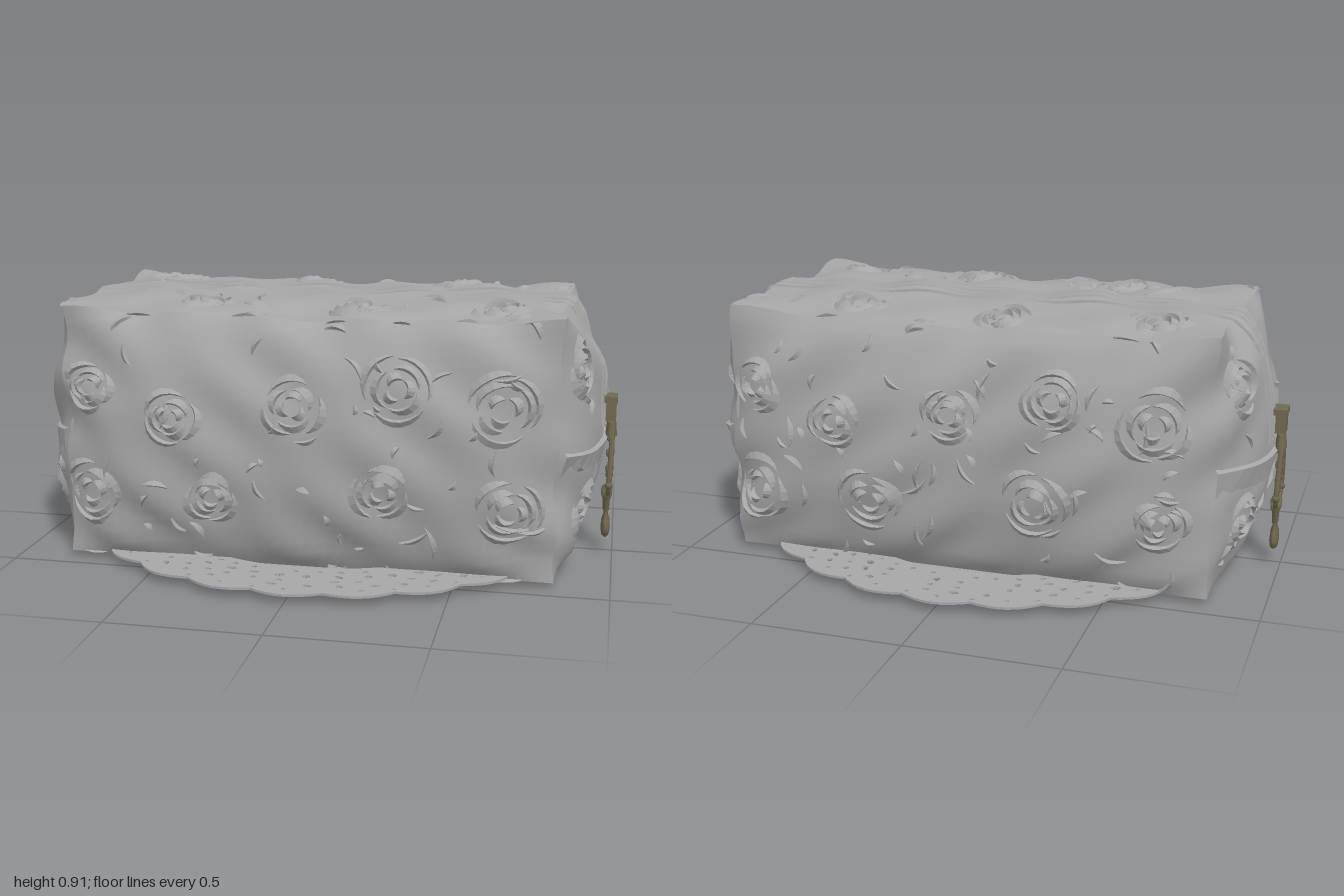
import * as THREE from 'three';
import { mergeGeometries } from 'three/addons/utils/BufferGeometryUtils.js';

const V = (x, y, z) => new THREE.Vector3(x, y, z);
const HX = 0.82, HY = 0.425, HZ = 0.43;

// Seeded random numbers
let seed = 7;
const rnd = () => ((seed = (seed * 16807) % 2147483647) / 2147483647);
const range = (a, b) => a + (b - a) * rnd();

// Stuffed-box rule: a unit cube point becomes a point on the soft bag
function warp(a, b, c) {
  const q = (n) => Math.max(0, 1 - n * n);
  const fade = b < -0.8 ? Math.max(0, (b + 1) / 0.2) : 1;
  const n = fade * 0.009 * (Math.sin(9 * a + 5 * b) * Math.cos(7 * c - 6 * b) + Math.sin(17 * a - 4 * c + 8 * b) * 0.7);
  const x = a * (HX + 0.135 * Math.pow(q(b), 0.75) * Math.pow(q(c), 0.7) + n);
  const z = c * (HZ + 0.1 * Math.pow(q(b), 0.7) * (1 - Math.pow(a, 6)) + n);
  let y = 0.445 + b * (HY + n);
  if (b > 0) y += b * (0.035 * q(c) * q(a * a) - 0.018 * q(a));
  return V(x, y, z);
}

const FACES = {
  front: { at: (u, v) => warp(u, v, 1), w: HX, h: HY },
  back: { at: (u, v) => warp(-u, v, -1), w: HX, h: HY },
  left: { at: (u, v) => warp(1, v, -u), w: HZ, h: HY },
  right: { at: (u, v) => warp(-1, v, u), w: HZ, h: HY },
  top: { at: (u, v) => warp(u, 1, -v), w: HX, h: HZ },
};

// Point on a bag face, lifted along its normal
function onFace(f, u, v, lift) {
  u = THREE.MathUtils.clamp(u, -0.99, 0.99);
  v = THREE.MathUtils.clamp(v, -0.99, 0.99);
  const e = 0.008, p = f.at(u, v);
  const du = f.at(u + e, v).sub(f.at(u - e, v));
  const dv = f.at(u, v + e).sub(f.at(u, v - e));
  return p.addScaledVector(du.cross(dv).normalize(), lift);
}

// Faceted surface through rows of points
function loft(rows) {
  const pos = [];
  for (let i = 0; i + 1 < rows.length; i++) {
    for (let j = 0; j + 1 < rows[i].length; j++) {
      const [a, b, c, d] = [rows[i][j], rows[i][j + 1], rows[i + 1][j + 1], rows[i + 1][j]];
      for (const p of [a, b, c, a, c, d]) pos.push(p.x, p.y, p.z);
    }
  }
  const g = new THREE.BufferGeometry();
  g.setAttribute('position', new THREE.Float32BufferAttribute(pos, 3));
  g.computeVertexNormals();
  return g;
}

// Raised petal edge: a curved wedge with a steep inner lip
function petal(f, cx, cy, r, t0, t1, width, lift) {
  const rows = [[], [], []], n = 7;
  for (let i = 0; i <= n; i++) {
    const t = t0 + ((t1 - t0) * i) / n, s = Math.sin((Math.PI * i) / n);
    const put = (row, rad, h) => row.push(onFace(f, cx + (rad * Math.cos(t)) / f.w, cy + (rad * Math.sin(t)) / f.h, h));
    put(rows[0], r + width * s, -0.002);
    put(rows[1], r, 0.002 + lift * s);
    put(rows[2], r - 0.006, -0.003);
  }
  return loft(rows);
}

function rose(f, cx, cy, size) {
  const out = [];
  [1, 0.68, 0.36].forEach((k, ring) => {
    const start = range(0, 6);
    for (let i = 0; i < 3; i++) {
      const t = start + i * 2.1;
      out.push(petal(f, cx, cy, size * k * range(0.92, 1.08), t, t + range(1.5, 2.2), 0.025, 0.012 + ring * 0.002));
    }
  });
  return out;
}

// Embossed roses and loose leaves on every fabric face
function relief() {
  const parts = [];
  const wall = [[-0.72, 0.61], [-0.42, 0.53], [-0.02, 0.59], [0.32, 0.66], [0.65, 0.6], [-0.72, 0.25], [-0.3, 0.26], [0.27, 0.31], [0.67, 0.27]];
  for (const name of ['front', 'back']) {
    for (const [x, y] of wall) parts.push(...rose(FACES[name], x / HX, (y - 0.445) / HY, range(0.075, 0.105)));
  }
  for (const name of ['left', 'right']) {
    for (const [u, v] of [[-0.68, 0.6], [-0.6, -0.5], [0.66, -0.55]]) parts.push(...rose(FACES[name], u, v, 0.085));
  }
  for (const [u, v] of [[-0.75, 0.65], [-0.13, 0.75], [0.5, 0.66], [-0.45, -0.62], [0.2, -0.65], [0.75, -0.62]]) {
    parts.push(...rose(FACES.top, u, v, 0.08));
  }
  const counts = { front: 55, back: 55, left: 12, right: 12, top: 34 };
  for (const name in counts) {
    for (let i = 0; i < counts[name]; i++) {
      let v = range(-0.85, 0.92), u = range(-0.92, 0.92);
      if (name === 'top' && Math.abs(v) < 0.34) v = Math.sign(v) * range(0.4, 0.9);
      if ((name === 'left' || name === 'right') && Math.abs(u) < 0.35) u = Math.sign(u) * range(0.45, 0.85);
      const t = range(0, 6.28), r = range(0.06, 0.16);
      parts.push(petal(FACES[name], u, v, r, t, t + range(0.4, 0.9), 0.016, 0.009));
    }
  }
  return mergeGeometries(parts);
}

// Band running up one end, over the top and down the other end
function zipBand(z, width, lift) {
  const row = (zz, h) => {
    const c = zz / HZ, pts = [], n = 10;
    for (let i = 0; i <= n; i++) pts.push(onFace(FACES.right, c, 0.02 + (0.96 * i) / n, h));
    for (let i = 0; i <= 36; i++) pts.push(onFace(FACES.top, -0.98 + (1.96 * i) / 36, -c, h));
    for (let i = n; i >= 0; i--) pts.push(onFace(FACES.left, -c, 0.02 + (0.96 * i) / n, h));
    return pts;
  };
  const w = width / 2;
  return loft([row(z + w, -0.002), row(z + w * 0.6, lift), row(z - w * 0.6, lift), row(z - w, -0.002)]);
}

// Lace mat: scalloped oval, pierced by rings of small holes
const RX = 0.85, RZ = 0.75;
function laceGeometry() {
  const ring = (k, n, wave) => {
    const pts = [];
    for (let i = 0; i < n; i++) {
      const t = (i / n) * Math.PI * 2, r = k + wave * (Math.abs(Math.sin(t * 11)) - 1);
      pts.push(new THREE.Vector2(RX * r * Math.cos(t), RZ * r * Math.sin(t)));
    }
    return pts;
  };
  const shape = new THREE.Shape(ring(1, 176, 0.04));
  shape.holes.push(new THREE.Path(ring(0.66, 72, 0)));
  [[0.71, 52, 0.011], [0.77, 44, 0.016], [0.83, 50, 0.013], [0.885, 44, 0.015], [0.935, 44, 0.009]].forEach(([k, n, size], j) => {
    for (let i = 0; i < n; i++) {
      if (rnd() < 0.15) continue;
      const t = ((i + 0.5 * (j % 2) + range(-0.1, 0.1)) / n) * Math.PI * 2;
      const hole = new THREE.Path();
      hole.absellipse(RX * k * Math.cos(t), RZ * k * Math.sin(t), size * range(0.7, 1.25), size * range(0.5, 0.85), 0, Math.PI * 2, true, t + range(0.8, 2));
      shape.holes.push(hole);
    }
  });
  return new THREE.ExtrudeGeometry(shape, { depth: 0.008, bevelEnabled: false, curveSegments: 4 }).rotateX(-Math.PI / 2);
}

export function createModel() {
  const model = new THREE.Group();
  const fabric = new THREE.MeshStandardMaterial({ color: 0xa6a6a6, side: THREE.DoubleSide });
  fabric.name = 'grey fabric';
  const brass = new THREE.MeshStandardMaterial({ color: 0x6f6850 });
  brass.name = 'aged brass';
  const add = (parent, name, geo, mat, x = 0, y = 0, z = 0) => {
    const m = new THREE.Mesh(geo, mat);
    m.name = name;
    m.position.set(x, y, z);
    parent.add(m);
    return m;
  };

  // Bag body
  const body = new THREE.BoxGeometry(2, 2, 2, 44, 24, 28);
  const p = body.attributes.position;
  for (let i = 0; i < p.count; i++) {
    const w = warp(p.getX(i), p.getY(i), p.getZ(i));
    p.setXYZ(i, w.x, w.y, w.z);
  }
  body.computeVertexNormals();
  add(model, 'bagBody', body, fabric);
  add(model, 'roseRelief', relief(), fabric);

  // Zip tapes and the raised tooth row
  const bands = [[0.038, 0.02, 0.006], [-0.005, 0.03, 0.01], [-0.048, 0.02, 0.006], [-0.105, 0.022, 0.009]];
  add(model, 'zip', mergeGeometries(bands.map((b) => zipBand(...b))), fabric);

  // Folded seam across each end
  for (const side of ['left', 'right']) {
    const rows = [[-0.22, -0.002], [-0.02, 0.014], [0.0, -0.002]].map(([dv, h]) =>
      Array.from({ length: 17 }, (_, i) => {
        const u = -0.98 + (1.96 * i) / 16;
        return onFace(FACES[side], u, 0.02 - 0.07 * (1 - u * u) + dv, h);
      }));
    add(model, side + 'EndSeam', loft(rows), fabric);
  }

  // Lace mat and its plain centre
  add(model, 'laceMat', laceGeometry(), fabric, 0, 0.03, 0);
  const centre = new THREE.LatheGeometry([[0.0001, 0.002], [0.3, 0.004], [0.6, 0.012], [0.64, 0.024], [0.67, 0.034]].map(([x, y]) => new THREE.Vector2(x, y)), 48);
  add(model, 'matCentre', centre.scale(RX, 1, RZ), fabric);

  // Zip pull with bail, chain and tassel at each end
  for (const s of [1, -1]) {
    const pull = new THREE.Group();
    pull.name = s > 0 ? 'leftZipPull' : 'rightZipPull';
    add(pull, 'slider', new THREE.BoxGeometry(0.035, 0.07, 0.06), brass, 0.005, 0.505, 0);
    add(pull, 'sliderCap', new THREE.BoxGeometry(0.045, 0.02, 0.075), brass, 0.003, 0.545, 0);
    add(pull, 'sliderFoot', new THREE.CylinderGeometry(0.03, 0.04, 0.05, 8).scale(0.5, 1, 1), brass, 0.008, 0.44, 0);
    for (const k of [1, -1]) {
      const arm = new THREE.CatmullRomCurve3([V(0.012, 0.45, 0.02 * k), V(0.012, 0.38, 0.042 * k), V(0.01, 0.3, 0.065 * k), V(0.008, 0.25, 0.07 * k), V(0.006, 0.215, 0.045 * k)]);
      add(pull, 'bailArm', new THREE.TubeGeometry(arm, 14, 0.009, 6), brass);
      add(pull, 'bailBead', new THREE.SphereGeometry(0.014, 8, 6), brass, 0.008, 0.255, 0.07 * k);
    }
    for (let i = 0; i < 6; i++) {
      const link = add(pull, 'chainLink', new THREE.TorusGeometry(0.014, 0.006, 5, 10), brass, 0.008, 0.41 - i * 0.028, 0);
      link.rotation.y = i % 2 ? Math.PI / 2 : Math.PI / 4;
    }
    const tassel = [[0.001, 0.225], [0.055, 0.222], [0.05, 0.2], [0.034, 0.185], [0.03, 0.15], [0.02, 0.135], [0.038, 0.115], [0.045, 0.085], [0.036, 0.06], [0.001, 0.045]];
    const tasselGeo = new THREE.LatheGeometry(tassel.reverse().map(([x, y]) => new THREE.Vector2(x, y)), 12);
    add(pull, 'tassel', tasselGeo.scale(0.36, 1, 1), brass, 0.002, 0, -0.008);
    pull.position.x = 0.972 * s;
    if (s < 0) pull.rotation.y = Math.PI;
    model.add(pull);
  }
  return model;
}
